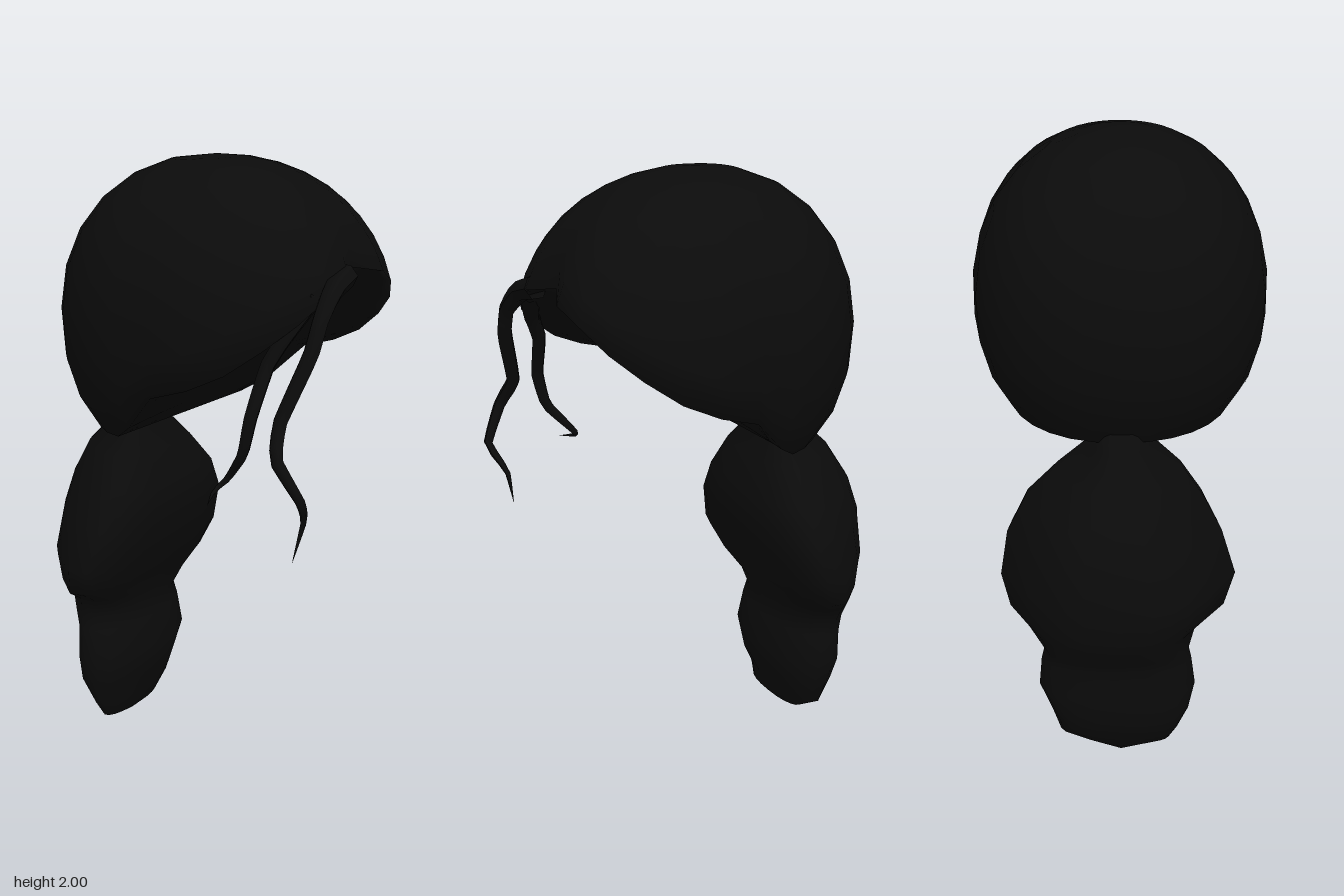
import * as THREE from 'three';
import { mergeVertices } from 'three/addons/utils/BufferGeometryUtils.js';

const hair = new THREE.MeshStandardMaterial({ color: 0x0b0b0b, side: THREE.DoubleSide });
hair.name = 'blackHair';

// Skin a stack of closed rings, listed from top to bottom
function loft(rings) {
  const n = rings[0].length, index = [];
  for (let i = 0; i < rings.length - 1; i++) {
    for (let j = 0; j < n; j++) {
      const k = (j + 1) % n;
      const a = i * n + j, b = (i + 1) * n + j, c = (i + 1) * n + k, d = i * n + k;
      index.push(a, b, c, a, c, d);
    }
  }
  let geo = new THREE.BufferGeometry().setFromPoints(rings.flat());
  geo.setIndex(index);
  geo = mergeVertices(geo, 1e-5);
  geo.computeVertexNormals();
  return geo;
}

// Signed power, for slightly boxy ellipses
const spow = (v, e) => Math.sign(v) * Math.pow(Math.abs(v), e);

function part(name, geo) {
  const mesh = new THREE.Mesh(geo, hair);
  mesh.name = name;
  return mesh;
}

// Hair cap: domed shell down to a sloping rim, closed by a shallow hollow underside
function capGeometry() {
  const centre = new THREE.Vector3(0, 1.5, 0.01);
  // Rim height by angle from the front, in degrees
  const rim = [[0, 1.7], [18, 1.67], [40, 1.55], [60, 1.43], [76, 1.36], [84, 1.34], [98, 1.2], [110, 1.165], [180, 1.16]];
  const rimY = deg => {
    const i = Math.max(1, rim.findIndex(r => deg <= r[0] + 1e-6));
    const [a, ya] = rim[i - 1], [b, yb] = rim[i];
    return ya + (yb - ya) * (deg - a) / (b - a);
  };
  const e = 0.92, cols = 30, rows = 9;
  const ring = v => Array.from({ length: cols }, (_, j) => {
    const t = j / cols * Math.PI * 2;
    const deg = Math.min(j, cols - j) / cols * 360;
    const phi = v * Math.acos(spow((rimY(deg) - 1.5) / 0.5, 1 / e));
    const r = spow(Math.sin(phi), e);
    const depth = Math.cos(t) > 0 ? 0.565 : 0.485;
    const p = new THREE.Vector3(
      0.45 * r * spow(Math.sin(t), e),
      0.5 * spow(Math.cos(phi), e),
      depth * r * spow(Math.cos(t), e));
    // Parting notch above the forehead
    if (j === 0) p.z *= 1 - 0.1 * v * v;
    return p.add(centre);
  });
  const rings = [];
  for (let i = 0; i <= rows; i++) rings.push(ring(i / rows));
  // Underside spans the rim from side to side, hollowed toward the forehead
  for (const s of [0.85, 0.55, 0.25, 0]) {
    rings.push(rings[rows].map(p => {
      const front = THREE.MathUtils.clamp(p.z / 0.3 + 0.4, 0, 1);
      const hollow = (1 - s * s) * front;
      return new THREE.Vector3(p.x * s, p.y + 0.09 * hollow * Math.abs(p.x) / 0.45, p.z * (1 - 0.1 * hollow));
    }));
  }
  return loft(rings);
}

// Ponytail sections: y, right x, left x, back z, front z
function ponytailGeometry() {
  const sections = [
    [1.24, 0, 0, -0.31, -0.31],
    [1.2, -0.11, 0.11, -0.39, -0.23],
    [1.13, -0.1, 0.1, -0.39, -0.23],
    [1.04, -0.19, 0.2, -0.48, -0.19],
    [0.93, -0.26, 0.3, -0.54, -0.15],
    [0.82, -0.315, 0.355, -0.57, -0.145],
    [0.68, -0.36, 0.378, -0.58, -0.185],
    [0.58, -0.325, 0.35, -0.565, -0.235],
    [0.52, -0.235, 0.29, -0.545, -0.26],
    [0.45, -0.215, 0.245, -0.505, -0.28],
    [0.4, -0.225, 0.255, -0.48, -0.27],
    [0.29, -0.24, 0.265, -0.478, -0.25],
    [0.19, -0.22, 0.225, -0.475, -0.27],
    [0.1, -0.185, 0.2, -0.43, -0.31],
    [0.045, -0.16, 0.12, -0.395, -0.32],
    [0.0, 0, 0, -0.37, -0.37],
  ];
  const n = 20;
  return loft(sections.map(([y, x0, x1, z0, z1]) => {
    // Upper bulge is widest near the front and tapers back; the tail is evener
    const upper = THREE.MathUtils.smoothstep(y, 0.42, 0.6);
    const zm = z1 + (z0 - z1) * (0.58 - 0.22 * upper);
    return Array.from({ length: n }, (_, j) => {
      const t = j / n * Math.PI * 2;
      const e = Math.cos(t) > 0 ? 0.88 - 0.18 * upper : 0.8 - 0.2 * upper;
      const c = spow(Math.cos(t), e);
      const taper = 1 - (0.1 + 0.34 * upper) * Math.max(0, -c);
      return new THREE.Vector3(
        (x0 + x1) / 2 + (x1 - x0) / 2 * spow(Math.sin(t), e) * taper, y,
        zm + c * (c > 0 ? z1 - zm : zm - z0));
    });
  }));
}

// Loose strand: a tube along a bent path, flared at the root and tapering to a point
function strandGeometry(points, radius) {
  const curve = new THREE.CatmullRomCurve3(points.map(p => new THREE.Vector3(...p)), false, 'catmullrom', 0.15);
  const steps = 24, sides = 6;
  const geo = new THREE.TubeGeometry(curve, steps, radius, sides);
  const pos = geo.attributes.position, v = new THREE.Vector3();
  for (let i = 0; i < pos.count; i++) {
    const u = Math.floor(i / (sides + 1)) / steps;
    const c = curve.getPointAt(u);
    const size = 1 - Math.pow(u, 3) + 0.5 * Math.max(0, 1 - 5 * u);
    v.fromBufferAttribute(pos, i).sub(c).multiplyScalar(size).add(c);
    pos.setXYZ(i, v.x, v.y, v.z);
  }
  geo.computeVertexNormals();
  return geo;
}

export function createModel() {
  const group = new THREE.Group();
  group.name = 'hairstyle';
  group.add(part('hairCap', capGeometry()));
  group.add(part('ponytail', ponytailGeometry()));
  group.add(part('longFrontStrand', strandGeometry([
    [-0.08, 1.69, 0.51], [-0.17, 1.66, 0.52], [-0.25, 1.59, 0.53], [-0.29, 1.5, 0.525], [-0.36, 1.32, 0.475],
    [-0.42, 1.23, 0.5], [-0.39, 1.11, 0.565], [-0.32, 1.03, 0.535], [-0.34, 0.9, 0.51],
  ], 0.025)));
  group.add(part('shortFrontStrand', strandGeometry([
    [-0.2, 1.64, 0.47], [-0.27, 1.55, 0.44], [-0.31, 1.46, 0.4], [-0.37, 1.32, 0.385],
    [-0.37, 1.21, 0.36], [-0.33, 1.11, 0.28], [-0.37, 1.08, 0.26], [-0.44, 1.06, 0.285],
  ], 0.023)));
  return group;
}
